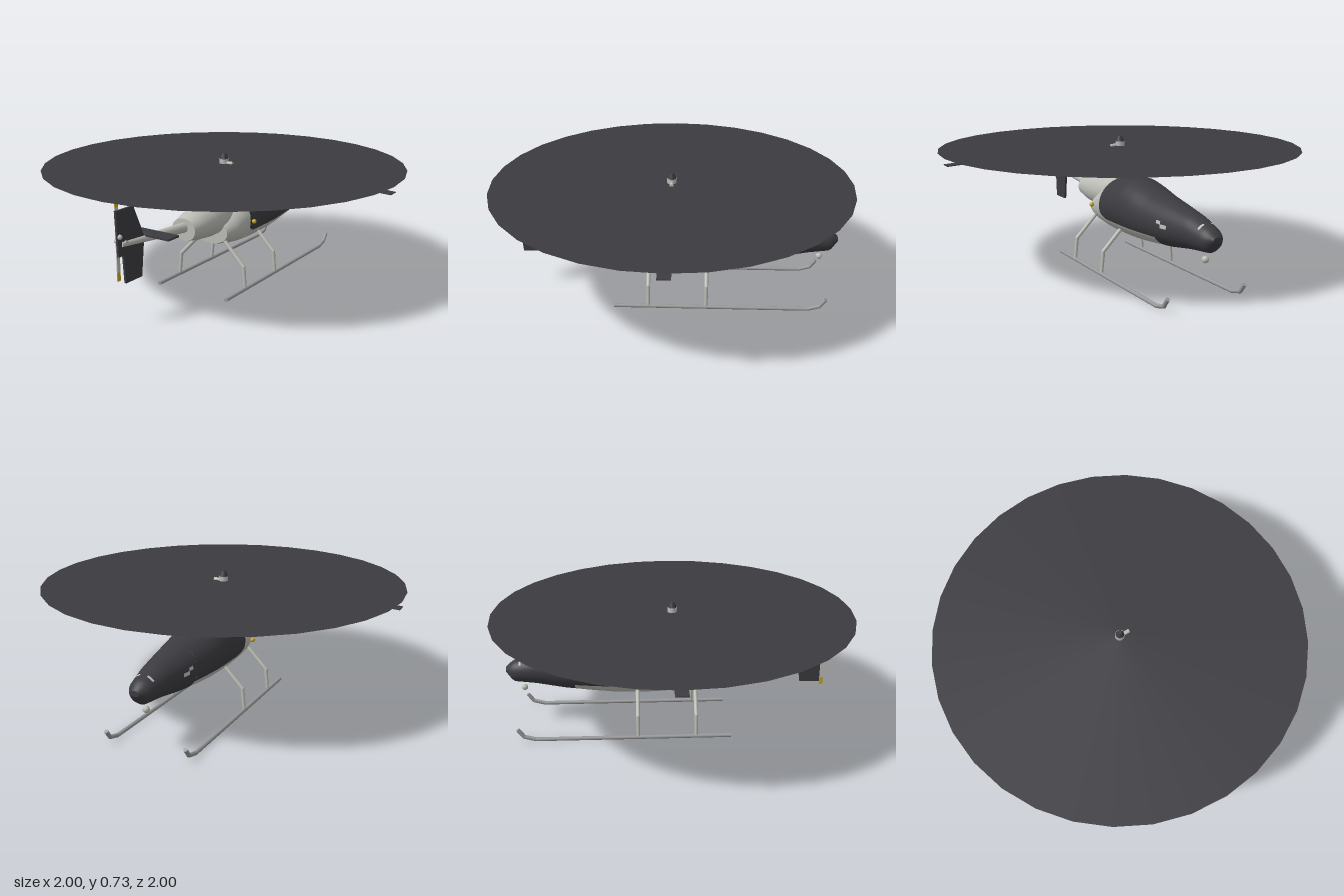
import * as THREE from 'three';

const mat = (name, color, side = THREE.FrontSide) => {
  const m = new THREE.MeshStandardMaterial({ color, side });
  m.name = name;
  return m;
};

export function createModel() {
  const root = new THREE.Group();
  const dark = mat('charcoal', 0x3c3b40, THREE.DoubleSide);
  const pale = mat('paleGrey', 0xbdbdb7);
  const metal = mat('metalGrey', 0x98989a);
  const yellow = mat('yellow', 0xc8a428);

  const add = (name, geo, m, x = 0, y = 0, z = 0) => {
    const mesh = new THREE.Mesh(geo, m);
    mesh.name = name;
    mesh.position.set(x, y, z);
    root.add(mesh);
    return mesh;
  };
  const ball = (name, m, r, x, y, z) => add(name, new THREE.SphereGeometry(r, 16, 12), m, x, y, z);
  // straight round bar between two points
  const bar = (name, m, a, b, ra, rb = ra) => {
    const p = new THREE.Vector3(...a), q = new THREE.Vector3(...b);
    const mesh = add(name, new THREE.CylinderGeometry(rb, ra, p.distanceTo(q), 14), m);
    mesh.position.copy(p).lerp(q, 0.5);
    mesh.quaternion.setFromUnitVectors(new THREE.Vector3(0, 1, 0), q.sub(p).normalize());
    return mesh;
  };

  // section at z from keys [z, top, bottom, halfWidth]
  const section = (keys, z) => {
    let i = 1;
    while (i < keys.length - 1 && keys[i][0] < z) i++;
    const a = keys[i - 1], b = keys[i];
    const t = THREE.MathUtils.clamp((z - a[0]) / (b[0] - a[0]), 0, 1);
    const [top, bot, w] = [1, 2, 3].map((k) => a[k] + (b[k] - a[k]) * t);
    return { c: (top + bot) / 2, h: (top - bot) / 2, w };
  };
  // skin of elliptical sections between z0 and z1; range gives the angles, 0 being the top
  const skin = (keys, z0, z1, range, grow = 0, nz = 24, na = 40) => {
    const pos = [], idx = [];
    for (let i = 0; i <= nz; i++) {
      const z = z0 + ((z1 - z0) * i) / nz;
      const s = section(keys, z);
      const [a0, a1] = range(s, z);
      for (let j = 0; j <= na; j++) {
        const a = a0 + ((a1 - a0) * j) / na;
        pos.push(Math.sin(a) * (s.w + grow), s.c + Math.cos(a) * (s.h + grow), z);
        if (i < nz && j < na) {
          const p = i * (na + 1) + j, q = p + na + 1;
          idx.push(p, q, p + 1, p + 1, q, q + 1);
        }
      }
    }
    const g = new THREE.BufferGeometry();
    g.setAttribute('position', new THREE.Float32BufferAttribute(pos, 3));
    g.setIndex(idx);
    g.computeVertexNormals();
    return g;
  };
  const endCap = (name, keys, z, m, back = false) => {
    const s = section(keys, z);
    const mesh = add(name, new THREE.CircleGeometry(1, 40), m, 0, s.c, z);
    mesh.scale.set(s.w, s.h, 1);
    if (back) mesh.rotation.y = Math.PI;
  };
  const full = () => [0, Math.PI * 2];

  // fuselage: dark canopy and nose over a pale belly
  const hull = [
    [-0.94, 0.36, 0.33, 0.025], [-0.9, 0.395, 0.275, 0.06], [-0.77, 0.435, 0.262, 0.085],
    [-0.61, 0.462, 0.235, 0.115], [-0.45, 0.488, 0.218, 0.14], [-0.34, 0.515, 0.208, 0.155],
    [-0.25, 0.533, 0.204, 0.16], [-0.13, 0.522, 0.204, 0.16], [-0.04, 0.5, 0.208, 0.155],
    [0.06, 0.435, 0.222, 0.14], [0.14, 0.385, 0.243, 0.115],
  ];
  const edge = (s, z) => {
    const y = 0.285 + 0.03 * Math.max(0, 1 - (-0.04 - z) / 0.06) ** 2;
    return Math.acos(THREE.MathUtils.clamp((y - s.c) / s.h, -1, 1));
  };
  add('nose', skin(hull, -0.94, -0.55, full), dark);
  endCap('noseTip', hull, -0.94, dark, true);
  add('canopy', skin(hull, -0.55, -0.04, (s, z) => [-edge(s, z), edge(s, z)]), dark);
  add('belly', skin(hull, -0.55, -0.04, (s, z) => [edge(s, z), Math.PI * 2 - edge(s, z)]), pale);
  add('rearBody', skin(hull, -0.04, 0.14, full), pale);
  endCap('rearBodyEnd', hull, 0.14, pale);

  // engine housing and tail boom
  const engine = [
    [-0.12, 0.49, 0.32, 0.06], [0, 0.503, 0.3, 0.09], [0.1, 0.5, 0.295, 0.1],
    [0.2, 0.492, 0.295, 0.1], [0.3, 0.472, 0.305, 0.09], [0.385, 0.445, 0.322, 0.075],
  ];
  add('engineHousing', skin(engine, -0.12, 0.385, full), pale);
  endCap('engineHousingEnd', engine, 0.385, pale);
  bar('tailBoom', pale, [0, 0.393, 0.36], [0, 0.438, 0.88], 0.028, 0.014);

  // light markings on the nose sides and tip
  for (const s of [1, -1]) {
    const mark = (name, z0, z1, a0, a1) => add(name, skin(hull, z0, z1,
      () => (s > 0 ? [a0, a1] : [-a1, -a0]), 0.003, 4, 8), pale);
    mark('sideMark', -0.66, -0.615, 1.4, 1.58);
    mark('sideMark', -0.615, -0.585, 1.27, 1.42);
    mark('noseMark', -0.862, -0.85, 0.3, 0.85);
  }

  // rotor mast and hub
  add('mastFairing', new THREE.SphereGeometry(1, 28, 16), pale, 0, 0.52, 0).scale.set(0.06, 0.034, 0.1);
  bar('mastCollar', pale, [0, 0.525, 0], [0, 0.572, 0], 0.045, 0.018);
  bar('mast', pale, [0, 0.5, 0], [0, 0.66, 0], 0.013);
  bar('hub', pale, [0, 0.645, 0], [0, 0.7, 0], 0.026);
  bar('hubCollar', dark, [0, 0.66, 0], [0, 0.674, 0], 0.031);
  bar('hubCap', dark, [0, 0.7, 0], [0, 0.73, 0], 0.024, 0.012);
  bar('bladeGrip', pale, [0, 0.677, 0], [0.057, 0.677, 0], 0.011);

  // spinning disc and two drooping blades
  add('rotorDisc', new THREE.CircleGeometry(1, 32), dark, 0, 0.675, 0).rotation.x = -Math.PI / 2;
  const blades = new THREE.BoxGeometry(1.996, 0.004, 0.065, 32, 1, 1);
  const bp = blades.attributes.position;
  for (let i = 0; i < bp.count; i++) bp.setY(i, bp.getY(i) - 0.03 * bp.getX(i) ** 2);
  blades.computeVertexNormals();
  add('rotorBlades', blades, dark, 0, 0.672, 0);

  // tail fin and stabiliser
  const fin = new THREE.Shape([[-0.915, 0.61], [-0.79, 0.61], [-0.715, 0.44], [-0.74, 0.235],
    [-0.86, 0.235], [-0.87, 0.38], [-0.905, 0.38]].map(([u, v]) => new THREE.Vector2(u, v)));
  const finGeo = new THREE.ExtrudeGeometry(fin, { depth: 0.012, bevelEnabled: false });
  add('tailFin', finGeo.translate(0, 0, -0.006).rotateY(Math.PI / 2), dark);
  add('stabiliser', new THREE.SphereGeometry(1, 24, 12), dark, 0, 0.44, 0.67).scale.set(0.05, 0.012, 0.045);
  add('stabiliser', new THREE.BoxGeometry(0.31, 0.01, 0.085), dark, 0, 0.44, 0.67);

  // tail rotor with yellow tips
  bar('tailRotorShaft', pale, [0.015, 0.44, 0.855], [-0.055, 0.44, 0.855], 0.013);
  add('tailRotorBlade', new THREE.BoxGeometry(0.005, 0.33, 0.022), pale, -0.045, 0.445, 0.855);
  for (const s of [1, -1])
    add('tailRotorTip', new THREE.BoxGeometry(0.005, 0.045, 0.022), yellow, -0.045, 0.445 + s * 0.1875, 0.855);
  ball('tailLamp', pale, 0.013, 0.008, 0.48, 0.897);

  // landing skids with bent legs
  for (const s of [1, -1]) {
    const x = s * 0.225;
    bar('skid', metal, [x, 0.012, 0.32], [x, 0.012, -0.77], 0.011);
    ball('skidJoint', metal, 0.011, x, 0.012, -0.77);
    bar('skidToe', metal, [x, 0.012, -0.77], [x, 0.03, -0.835], 0.011);
    ball('skidJoint', metal, 0.011, x, 0.03, -0.835);
    bar('skidToe', metal, [x, 0.03, -0.835], [x, 0.075, -0.868], 0.011);
    for (const z of [0.125, -0.2]) {
      bar('skidLeg', pale, [s * 0.07, 0.285, z], [s * 0.213, 0.137, z], 0.011);
      ball('skidKnee', pale, 0.011, s * 0.213, 0.137, z);
      bar('skidLeg', pale, [s * 0.213, 0.137, z], [x, 0.012, z], 0.011, 0.009);
    }
    ball('sideLamp', yellow, 0.013, s * 0.19, 0.36, -0.02);
  }
  ball('topLamp', yellow, 0.018, 0, 0.505, 0.31);
  ball('chinLamp', pale, 0.018, 0, 0.23, -0.845);

  return root;
}
